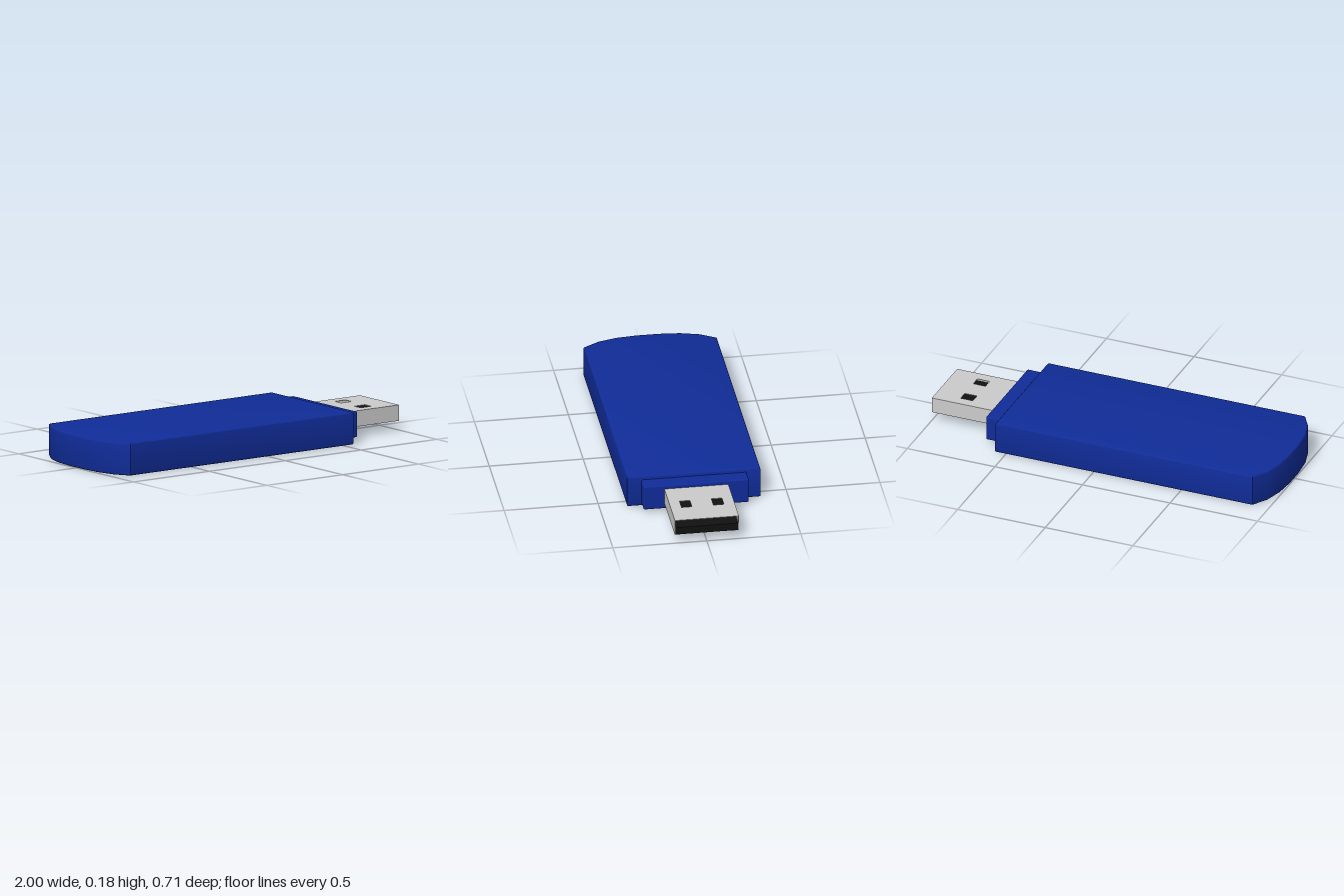
import * as THREE from 'three';
import { toCreasedNormals } from 'three/addons/utils/BufferGeometryUtils.js';
import { RoundedBoxGeometry } from 'three/addons/geometries/RoundedBoxGeometry.js';

const blue = new THREE.MeshStandardMaterial({ color: 0x102c98 });
const metal = new THREE.MeshStandardMaterial({ color: 0xcccccc });
const black = new THREE.MeshStandardMaterial({ color: 0x111111 });

export function createModel() {
  const model = new THREE.Group();

  const add = (parent, name, geometry, material, x = 0, y = 0, z = 0) => {
    const mesh = new THREE.Mesh(geometry, material);
    mesh.name = name;
    mesh.position.set(x, y, z);
    parent.add(mesh);
    return mesh;
  };

  // Box given by its minimum and maximum corners
  const addBox = (parent, name, material, [x0, y0, z0], [x1, y1, z1]) =>
    add(parent, name, new THREE.BoxGeometry(x1 - x0, y1 - y0, z1 - z0), material,
      (x0 + x1) / 2, (y0 + y1) / 2, (z0 + z1) / 2);

  // Main case: flat outline with a faceted, bowed tail and softened edges
  const tail = [[-0.91, 0.355], [-0.962, 0.27], [-0.99, 0.17], [-1, 0.06]];
  const outline = [[0.56, 0.355], ...tail,
    ...tail.map(([x, z]) => [x, -z]).reverse(), [0.56, -0.355]];
  const bevel = 0.01;
  const caseShape = new THREE.Shape(outline.map(([x, z]) => new THREE.Vector2(x, z)));
  const caseGeometry = new THREE.ExtrudeGeometry(caseShape, {
    depth: 0.175 - 2 * bevel, bevelThickness: bevel, bevelSize: bevel,
    bevelOffset: -bevel, bevelSegments: 3,
  });
  caseGeometry.rotateX(-Math.PI / 2);
  add(model, 'case', toCreasedNormals(caseGeometry, 0.6), blue, 0, bevel, 0);

  // Collar between case and plug
  add(model, 'collar', new RoundedBoxGeometry(0.087, 0.137, 0.56, 3, 0.008), blue, 0.6015, 0.0875, 0);

  // Plug: thin metal shell, open at the tip
  const plug = new THREE.Group();
  plug.name = 'plug';
  model.add(plug);
  const x0 = 0.64, x1 = 1, y0 = 0.05, y1 = 0.135, half = 0.17, wall = 0.003;

  // Top plate with two latch holes
  const plate = new THREE.Shape([[x0, -half], [x1, -half], [x1, half], [x0, half]]
    .map(([x, z]) => new THREE.Vector2(x, z)));
  for (const z of [-0.085, 0.085]) {
    plate.holes.push(new THREE.Path([[0.79, -0.028], [0.79, 0.028], [0.86, 0.028], [0.86, -0.028]]
      .map(([x, dz]) => new THREE.Vector2(x, z + dz))));
  }
  const plateGeometry = new THREE.ExtrudeGeometry(plate, { depth: wall, bevelEnabled: false });
  plateGeometry.rotateX(-Math.PI / 2);
  add(plug, 'shellTop', plateGeometry, metal, 0, y1 - wall, 0);

  // Side walls and the narrow lips folded under them
  for (const side of [-1, 1]) {
    const name = side > 0 ? 'front' : 'back';
    const inner = side * (half - wall), outer = side * half, lip = side * (half - 0.03);
    addBox(plug, name + 'ShellWall', metal,
      [x0, y0, Math.min(inner, outer)], [x1, y1 - wall, Math.max(inner, outer)]);
    addBox(plug, name + 'ShellLip', metal,
      [x0, y0, Math.min(lip, inner)], [x1 - 0.001, y0 + 0.002, Math.max(lip, inner)]);
  }

  // Contact tongue filling the lower half
  addBox(plug, 'tongue', black, [x0, y0 + 0.001, -half + wall], [x1 - 0.0005, 0.092, half - wall]);

  return model;
}
